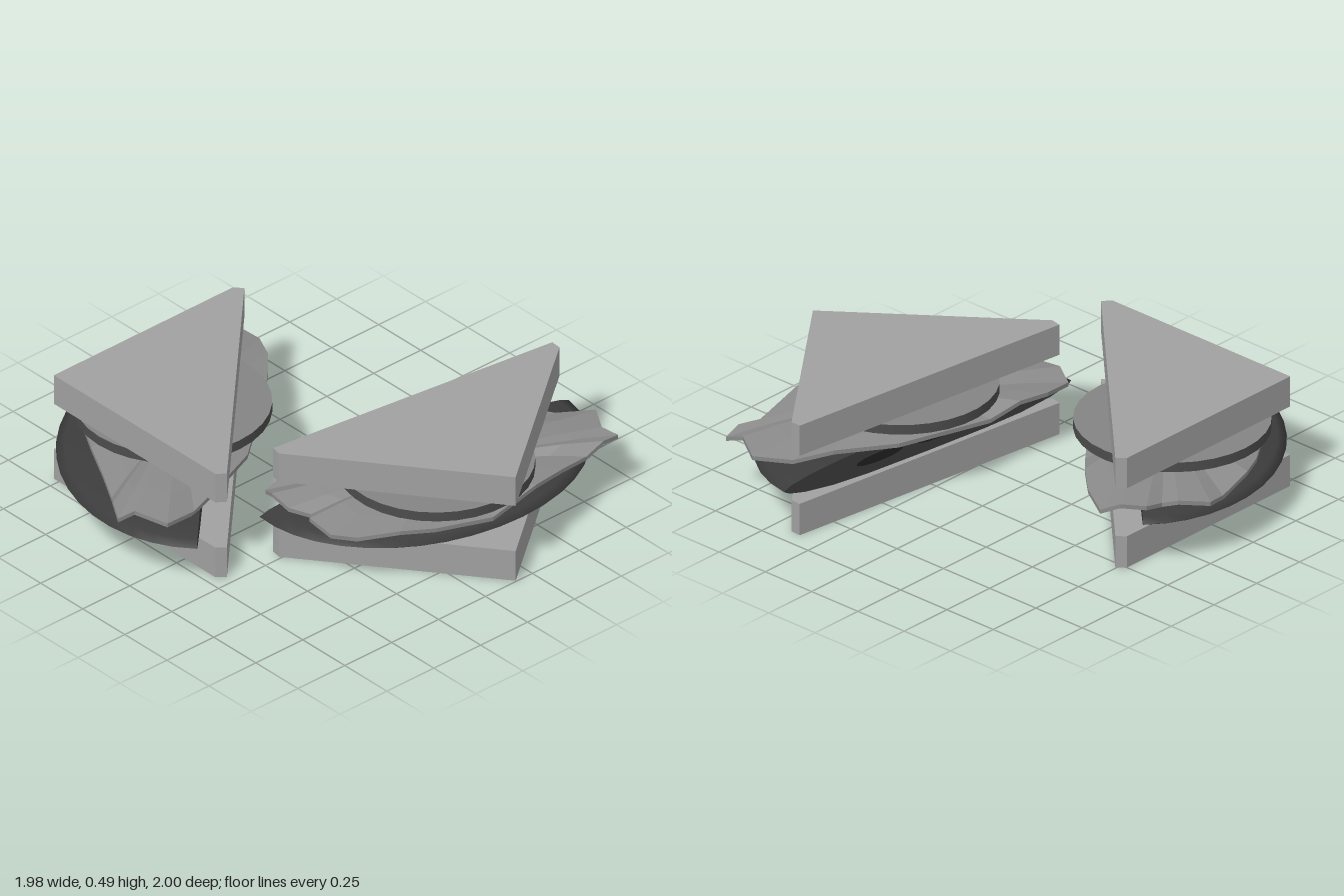
import * as THREE from 'three';

const flat = (color) => new THREE.MeshStandardMaterial({ color });
const breadGrey = flat(0xa0a0a0);
const leafGrey = flat(0x8a8a8a);
const sliceGrey = flat(0x848484);
const rindGrey = flat(0x4c4c4c);
const fillingGrey = flat(0x3c3c3c);
const holeGrey = flat(0x202020);

function add(parent, name, geometry, material) {
  const mesh = new THREE.Mesh(geometry, material);
  mesh.name = name;
  parent.add(mesh);
  return mesh;
}

// Triangular slice with two blunted tips; the right angle sits at the origin
function breadGeometry(y, height) {
  const outline = [[0, 0], [0.955, 0], [0.985, 0.035], [0.035, 0.99], [0, 0.96]];
  const shape = new THREE.Shape(outline.map(([x, z]) => new THREE.Vector2(x, -z)));
  const geo = new THREE.ExtrudeGeometry(shape, { depth: height, bevelEnabled: false });
  return geo.rotateX(-Math.PI / 2).translate(0, y, 0);
}

// Ragged leaf: rings of one outline, running over the top, round the rim and back underneath
function leafGeometry() {
  const outline = [
    [-0.285, 0.70], [-0.24, 0.62], [-0.185, 0.55], [-0.115, 0.42], [-0.035, 0.26], [0.10, 0.05],
    [0.305, -0.10], [0.435, -0.17], [0.605, -0.195], [0.705, -0.22], [0.805, -0.14], [0.815, -0.06],
    [0.905, -0.06], [0.985, 0.01], [1.025, 0.08], [0.955, 0.21], [0.855, 0.32], [0.745, 0.42],
    [0.405, 0.70], [0.155, 0.81], [-0.005, 0.84], [-0.165, 0.86], [-0.215, 0.72]];
  const n = outline.length, cx = 0.37, cz = 0.33;
  const rings = [[0, 0], [0.4, 0], [0.75, 0], [1, 0], [1, 1], [0.75, 1], [0.4, 1], [0, 1]];
  const positions = [], index = [];
  rings.forEach(([t, under], k) => {
    outline.forEach(([x, z], i) => {
      const y = 0.305 - 0.03 * t ** 3 + 0.02 * t * Math.sin(i * 2.1) - 0.018 * under;
      positions.push(cx + (x - cx) * t, y, cz + (z - cz) * t);
      if (k === rings.length - 1) return;
      const a = k * n + i, b = k * n + (i + 1) % n;
      if (k > 0) index.push(a, b, b + n);
      if (k < rings.length - 2) index.push(a, b + n, a + n);
    });
  });
  const geo = new THREE.BufferGeometry();
  geo.setAttribute('position', new THREE.Float32BufferAttribute(positions, 3));
  geo.setIndex(index);
  const faceted = geo.toNonIndexed();
  faceted.computeVertexNormals();
  return faceted;
}

// Half of a lens-shaped round, with a flat cut face and two dark holes in it
function createFilling() {
  const filling = new THREE.Group();
  filling.name = 'filling';
  const profile = [[0, 0.14], [0.4, 0.142], [0.65, 0.15], [0.85, 0.168], [0.96, 0.187], [1, 0.205],
    [0.94, 0.222], [0.82, 0.237], [0.6, 0.252], [0.3, 0.26], [0, 0.262]]
    .map(([r, y]) => new THREE.Vector2(r, y));
  const sx = 0.745, sz = 0.6;
  add(filling, 'fillingRound', new THREE.LatheGeometry(profile, 20, Math.PI / 2, Math.PI).scale(sx, 1, sz), fillingGrey);
  const mirrored = profile.slice(1, -1).reverse().map((p) => new THREE.Vector2(-p.x, p.y));
  const cut = new THREE.Shape([...profile, ...mirrored]);
  add(filling, 'fillingCutFace', new THREE.ShapeGeometry(cut).scale(sx, 1, 1), fillingGrey);
  for (const x of [-0.25, 0.06]) {
    const hole = add(filling, 'fillingHole', new THREE.CircleGeometry(1, 16).scale(0.12, 0.02, 1), holeGrey);
    hole.position.set(x, 0.2, 0.003);
  }
  return filling;
}

function createHalf(name, fillingX, fillingZ) {
  const half = new THREE.Group();
  half.name = name;
  add(half, 'bottomBread', breadGeometry(0, 0.14), breadGrey);
  add(half, 'topBread', breadGeometry(0.355, 0.135), breadGrey);
  add(half, 'leaf', leafGeometry(), leafGrey);
  const slice = add(half, 'roundSlice', new THREE.CylinderGeometry(0.395, 0.395, 0.042, 32),
    [rindGrey, sliceGrey, sliceGrey]);
  slice.position.set(0.375, 0.329, 0.29);
  const filling = createFilling();
  filling.position.set(fillingX, 0, fillingZ);
  filling.rotation.y = Math.PI / 4;
  half.add(filling);
  return half;
}

export function createModel() {
  const model = new THREE.Group();
  model.name = 'sandwich';
  const back = createHalf('backHalf', 0.4, 0.465);
  back.position.set(-0.705, 0, -0.78);
  const front = createHalf('frontHalf', 0.5, 0.49);
  front.position.set(0.165, 0, 0.995);
  front.rotation.y = 2.228;
  model.add(back, front);
  return model;
}
